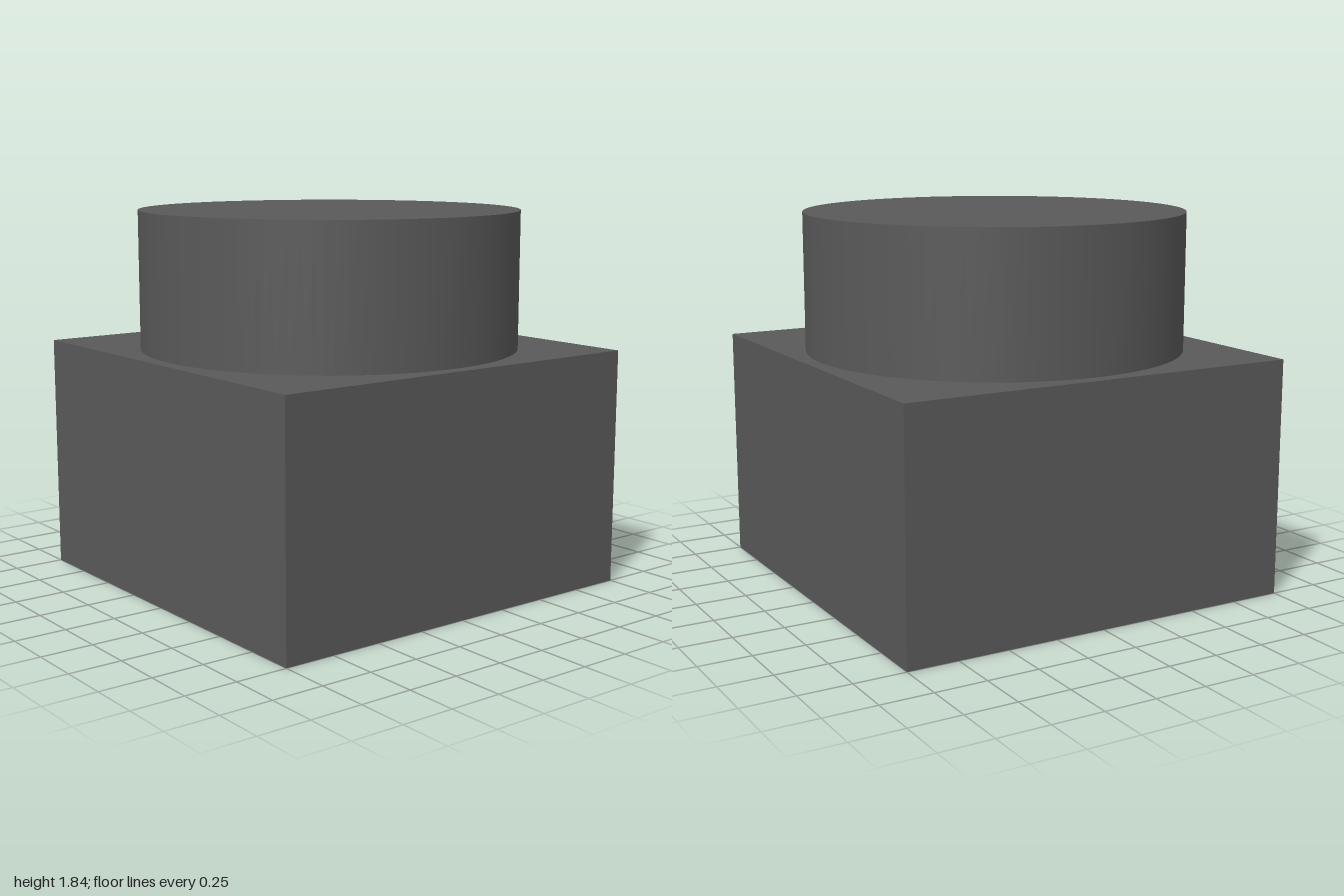
import * as THREE from 'three';

const BASE_HEIGHT = 1.16;
const TOP_HEIGHT = 1.835;
const RADIUS = 0.93;

export function createModel() {
  const group = new THREE.Group();
  const material = new THREE.MeshStandardMaterial({ color: 0x595959 });

  const addPart = (name, geometry, y) => {
    const mesh = new THREE.Mesh(geometry, material);
    mesh.name = name;
    mesh.position.y = y;
    group.add(mesh);
  };

  // Square block standing on the ground
  addPart('base', new THREE.BoxGeometry(2, BASE_HEIGHT, 2), BASE_HEIGHT / 2);

  // Smooth round stud on top of the block
  const studHeight = TOP_HEIGHT - BASE_HEIGHT;
  addPart('stud', new THREE.CylinderGeometry(RADIUS, RADIUS, studHeight, 96), BASE_HEIGHT + studHeight / 2);

  return group;
}
